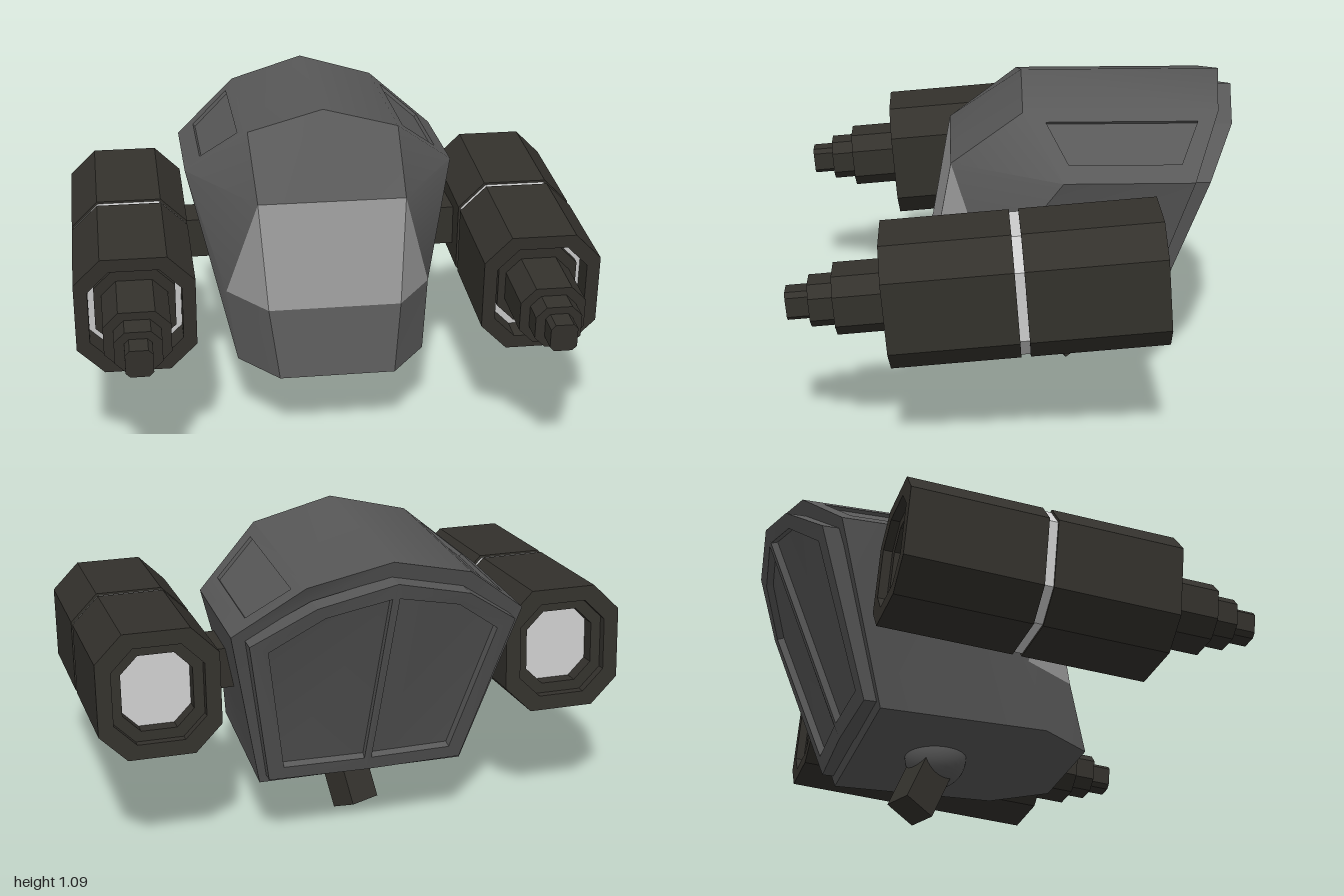
import * as THREE from 'three';
import { toCreasedNormals } from 'three/addons/utils/BufferGeometryUtils.js';

const paint = (color) => new THREE.MeshStandardMaterial({ color });
const hullPaint = paint(0x585858);
const windowPaint = paint(0x9a9a9a);
const gunPaint = paint(0x33312c);
const lightPaint = paint(0xcccccc);
const V = (x, y, z) => new THREE.Vector3(x, y, z);
const CENTRE = V(0, 0.62, -0.05);

// Newell normal of a polygon
function normalOf(pts) {
  const n = V(0, 0, 0);
  pts.forEach((p, i) => n.add(p.clone().cross(pts[(i + 1) % pts.length])));
  return n.normalize();
}
const middle = (pts) => pts.reduce((s, p) => s.add(p), V(0, 0, 0)).divideScalar(pts.length);
const facesOut = (pts) => normalOf(pts).dot(middle(pts).sub(CENTRE)) > 0;
const mirror = (pts) => pts.map((p) => V(-p.x, p.y, p.z));

// Collects polygons, mirrored across x, into one surface
class Surface {
  constructor() { this.data = []; }
  fan(pts) {
    for (let i = 1; i < pts.length - 1; i++)
      for (const p of [pts[0], pts[i], pts[i + 1]]) this.data.push(p.x, p.y, p.z);
  }
  strip(a, b) {
    a.forEach((p, i) => {
      const j = (i + 1) % a.length;
      this.fan([p, a[j], b[j], b[i]]);
    });
  }
  both(...pts) {
    for (const side of [pts, mirror(pts)]) this.fan(facesOut(side) ? side : side.slice().reverse());
  }
  // face with a sunken panel; skirt > 0 also adds outer walls
  bothInset(outer, inner, depth, skirt = 0) {
    for (let [o, n] of [[outer, inner], [mirror(outer), mirror(inner)]]) {
      if (!facesOut(o)) { o = o.slice().reverse(); n = n.slice().reverse(); }
      const down = normalOf(o).multiplyScalar(-depth);
      const floor = n.map((p) => p.clone().add(down));
      this.strip(o, n);
      this.strip(n, floor);
      this.fan(floor);
      if (skirt) this.strip(o.map((p) => p.clone().add(V(0, 0, skirt))), o);
    }
  }
  mesh(name, material, crease) {
    const g = new THREE.BufferGeometry();
    g.setAttribute('position', new THREE.Float32BufferAttribute(this.data, 3));
    const mesh = new THREE.Mesh(toCreasedNormals(g, crease), material);
    mesh.name = name;
    return mesh;
  }
}

function buildCabin() {
  const cabin = new THREE.Group();
  cabin.name = 'cabin';
  // roof front, roof back, window top, window bottom, floor
  const A0 = V(0, 1.085, 0.1), A1 = V(0.265, 1.015, 0.105), A2 = V(0.48, 0.84, -0.02);
  const B0 = V(0, 1.085, -0.58), B1 = V(0.265, 1.015, -0.546), B2 = V(0.48, 0.84, -0.45);
  const W0 = V(0, 0.835, 0.345), W1 = V(0.255, 0.835, 0.345);
  const M0 = V(0, 0.47, 0.41), M1 = V(0.23, 0.47, 0.41), M2 = V(0.36, 0.47, 0.22);
  const F0 = V(0, 0.24, 0.47), F1 = V(0.2, 0.24, 0.47), F2 = V(0.33, 0.24, 0.29);
  const G0 = V(0, 0.24, -0.275), G1 = V(0.35, 0.24, -0.275);

  const hull = new Surface();
  hull.both(A0, A1, B1, B0);
  hull.both(A0, A1, W1, W0);
  hull.both(A1, A2, W1);
  hull.both(W1, A2, M2);
  hull.both(M0, M1, F1, F0);
  hull.both(M1, M2, F2, F1);
  hull.both(A2, B2, G1, F2, M2);
  hull.both(F0, F1, F2, G1, G0);
  hull.both(B0, B1, B2, G1, G0);
  // sunken panels on the roof sides
  const slope = (x, z) => V(x, 1.015 - (x - 0.265) * 0.814, z);
  hull.bothInset([A1, A2, B2, B1],
    [slope(0.295, 0.03), slope(0.425, -0.04), slope(0.425, -0.41), slope(0.295, -0.475)], 0.012);
  cabin.add(hull.mesh('hull', hullPaint, 0.55));

  const glass = new Surface();
  glass.both(W0, W1, M1, M0);
  glass.both(W1, M2, M1);
  cabin.add(glass.mesh('window', windowPaint, 0.3));

  // rear hatch: raised frame, two sunken doors
  const hatch = new Surface();
  const frame = [V(0, 1.03, -0.626), V(0.245, 0.965, -0.597), V(0.435, 0.825, -0.505),
    V(0.33, 0.27, -0.325), V(0, 0.27, -0.335)];
  const doors = [V(0.012, 0.975, -0.607), V(0.215, 0.925, -0.58), V(0.375, 0.8, -0.505),
    V(0.285, 0.32, -0.345), V(0.012, 0.32, -0.352)];
  hatch.bothInset(frame, doors, 0.025, 0.07);
  cabin.add(hatch.mesh('rearHatch', hullPaint, 0.3));
  return cabin;
}

// Octagon: a rectangle with cut corners
function octagon(w, h, c, Type = THREE.Shape) {
  const x = w / 2, y = h / 2;
  return new Type([[x, c - y], [x, y - c], [x - c, y], [c - x, y], [-x, y - c], [-x, c - y],
    [c - x, -y], [x - c, -y]].map(([a, b]) => new THREE.Vector2(a, b)));
}

// Octagonal prism from z0 to z1, with an optional wall thickness
function prism(name, w, h, c, z0, z1, material, wall = 0) {
  const shape = octagon(w, h, c);
  if (wall) shape.holes.push(octagon(w - 2 * wall, h - 2 * wall, c * 0.8, THREE.Path));
  const g = new THREE.ExtrudeGeometry(shape, { depth: z1 - z0, bevelEnabled: false });
  g.translate(0, 0, z0);
  const mesh = new THREE.Mesh(g, material);
  mesh.name = name;
  return mesh;
}

function buildGun(side) {
  const gun = new THREE.Group();
  gun.name = side > 0 ? 'leftGun' : 'rightGun';
  gun.add(
    prism('rearCasing', 0.4, 0.42, 0.09, -0.33, 0.115, gunPaint, 0.05),
    prism('frontCasing', 0.4, 0.42, 0.09, 0.145, 0.56, gunPaint, 0.045),
    prism('lightBand', 0.385, 0.405, 0.087, 0.11, 0.15, lightPaint),
    prism('rearInnerRim', 0.302, 0.322, 0.072, -0.3, -0.2, gunPaint, 0.035),
    prism('rearLight', 0.26, 0.28, 0.05, -0.25, -0.2, lightPaint),
    prism('frontLight', 0.312, 0.332, 0.072, 0.4, 0.47, lightPaint, 0.03),
    prism('core', 0.27, 0.27, 0.06, 0.1, 0.5, gunPaint),
    prism('barrelBase', 0.22, 0.2, 0.05, 0.45, 0.72, gunPaint),
    prism('barrelMiddle', 0.155, 0.145, 0.035, 0.7, 0.8, gunPaint),
    prism('barrelTip', 0.09, 0.095, 0.015, 0.78, 0.875, gunPaint),
  );
  gun.position.set(side * 0.685, 0.595, 0);
  gun.rotation.x = 0.082;
  return gun;
}

export function createModel() {
  const model = new THREE.Group();
  model.name = 'turret';

  // turning head: cabin, guns and their mounts
  const head = new THREE.Group();
  head.name = 'head';
  head.add(buildCabin());
  for (const side of [1, -1]) {
    head.add(buildGun(side));
    const mount = new THREE.Mesh(new THREE.BoxGeometry(0.2, 0.14, 0.16), gunPaint);
    mount.name = 'gunMount';
    mount.position.set(side * 0.42, 0.6, -0.05);
    head.add(mount);
  }
  head.position.set(0.04, 0, -0.21);
  head.rotation.y = -0.4;
  model.add(head);

  // ball joint and tilted stem
  const ball = new THREE.Mesh(new THREE.SphereGeometry(0.105, 32, 20), hullPaint);
  ball.name = 'ballJoint';
  ball.position.set(0.04, 0.24, -0.21);
  const stem = new THREE.Mesh(new THREE.BoxGeometry(0.11, 0.24, 0.115).translate(0, -0.12, 0), gunPaint);
  stem.name = 'stem';
  stem.rotation.x = 0.45;
  stem.position.copy(ball.position);
  model.add(ball, stem);
  return model;
}
